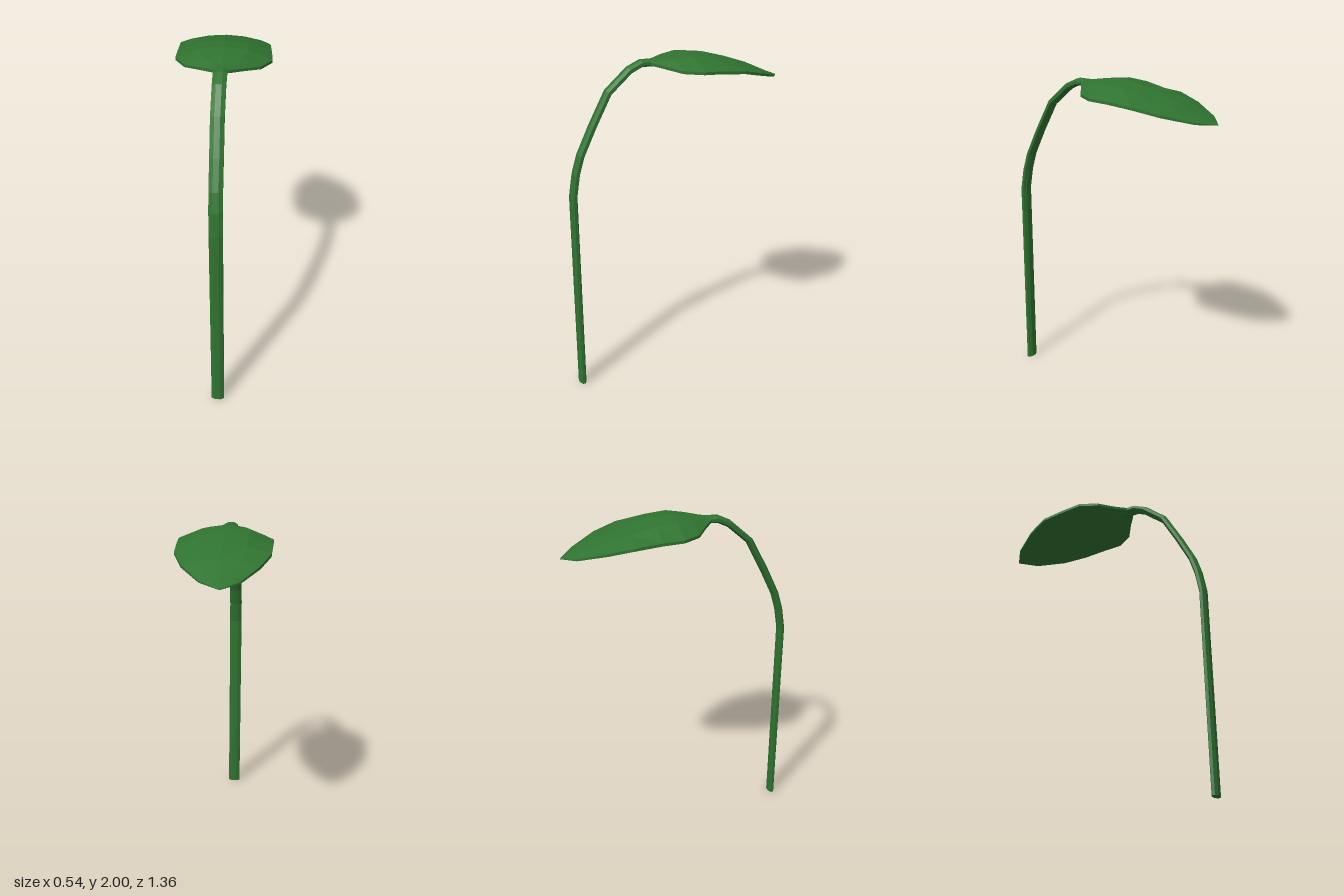
import * as THREE from 'three';

// Joins rings of points into a closed skin; rings turn counter-clockwise about the direction of travel
function loft(rings) {
  const n = rings[0].length, pos = [], idx = [];
  rings.forEach(r => r.forEach(p => pos.push(...p)));
  for (let i = 0; i < rings.length - 1; i++) {
    for (let j = 0; j < n; j++) {
      const a = i * n + j, b = i * n + (j + 1) % n;
      idx.push(a, b, b + n, a, b + n, a + n);
    }
  }
  // End caps, fanned from each ring's centre
  [0, rings.length - 1].forEach((k, end) => {
    const c = pos.length / 3;
    pos.push(...[0, 1, 2].map(d => rings[k].reduce((s, p) => s + p[d], 0) / n));
    for (let j = 0; j < n; j++) {
      const a = k * n + j, b = k * n + (j + 1) % n;
      if (end) idx.push(c, a, b); else idx.push(c, b, a);
    }
  });
  const g = new THREE.BufferGeometry();
  g.setAttribute('position', new THREE.Float32BufferAttribute(pos, 3));
  g.setIndex(idx);
  const flat = g.toNonIndexed();
  flat.computeVertexNormals();
  return flat;
}

// Oval stalk that rises straight, then arches over
function stemGeometry() {
  const path = [ // x, y, z
    [0.011, 0.0, 0.659], [0.004, 1.225, 0.657], [0.002, 1.355, 0.635], [0.001, 1.46, 0.603],
    [0, 1.62, 0.525], [-0.002, 1.805, 0.425], [-0.003, 1.918, 0.295], [-0.003, 1.95, 0.225],
    [-0.002, 1.95, 0.13], [0, 1.962, 0.04],
  ];
  const sides = 8;
  return loft(path.map(([x, y, z], i) => {
    const p = path[Math.max(i - 1, 0)], q = path[Math.min(i + 1, path.length - 1)];
    let ty = q[1] - p[1], tz = q[2] - p[2];
    if (i === 0) { ty = 1; tz = 0; }
    const l = Math.hypot(ty, tz), last = i === path.length - 1;
    const rx = last ? 0.02 : 0.038, rn = last ? 0.008 : 0.02;
    return Array.from({ length: sides }, (_, j) => {
      const a = (j + 0.5) / sides * Math.PI * 2;
      const c = Math.cos(a) * rx / 0.924, s = Math.sin(a) * rn / 0.924;
      return [x + c, y + s * tz / l, z - s * ty / l];
    });
  }));
}

// Domed leaf blade, thicker at the midrib than at the rim
function leafGeometry() {
  const rows = [ // z, left edge x, right edge x, midrib y, rim y
    [0.18, -0.042, 0.042, 1.968, 1.956],
    [0.13, -0.105, 0.105, 1.973, 1.945],
    [0.06, -0.21, 0.21, 1.985, 1.93],
    [-0.04, -0.27, 0.27, 2.0, 1.926],
    [-0.16, -0.27, 0.265, 1.988, 1.92],
    [-0.31, -0.27, 0.255, 1.948, 1.905],
    [-0.45, -0.22, 0.2, 1.902, 1.872],
    [-0.6, -0.13, 0.085, 1.836, 1.826],
    [-0.678, -0.032, -0.028, 1.806, 1.805],
  ];
  const columns = [-1, -0.5, 0, 0.5, 1];
  return loft(rows.map(([z, x0, x1, mid, rim], i) => {
    const thin = i === rows.length - 1 ? 0.15 : i === rows.length - 2 ? 0.6 : 1;
    const point = (u, under) => [
      (x0 + x1) / 2 + u * (x1 - x0) / 2,
      mid + (rim - mid) * u * u - (under ? (0.03 - 0.014 * Math.abs(u)) * thin : 0),
      z,
    ];
    return [...columns.map(u => point(-u, true)), ...columns.map(u => point(u, false))];
  }));
}

export function createModel() {
  const green = new THREE.MeshStandardMaterial({ color: 0x2f7330 });
  green.name = 'leafGreen';
  const group = new THREE.Group();
  group.name = 'leafOnStem';
  const add = (name, geometry) => {
    const m = new THREE.Mesh(geometry, green);
    m.name = name;
    group.add(m);
  };
  add('stem', stemGeometry());
  add('leafBlade', leafGeometry());
  return group;
}
